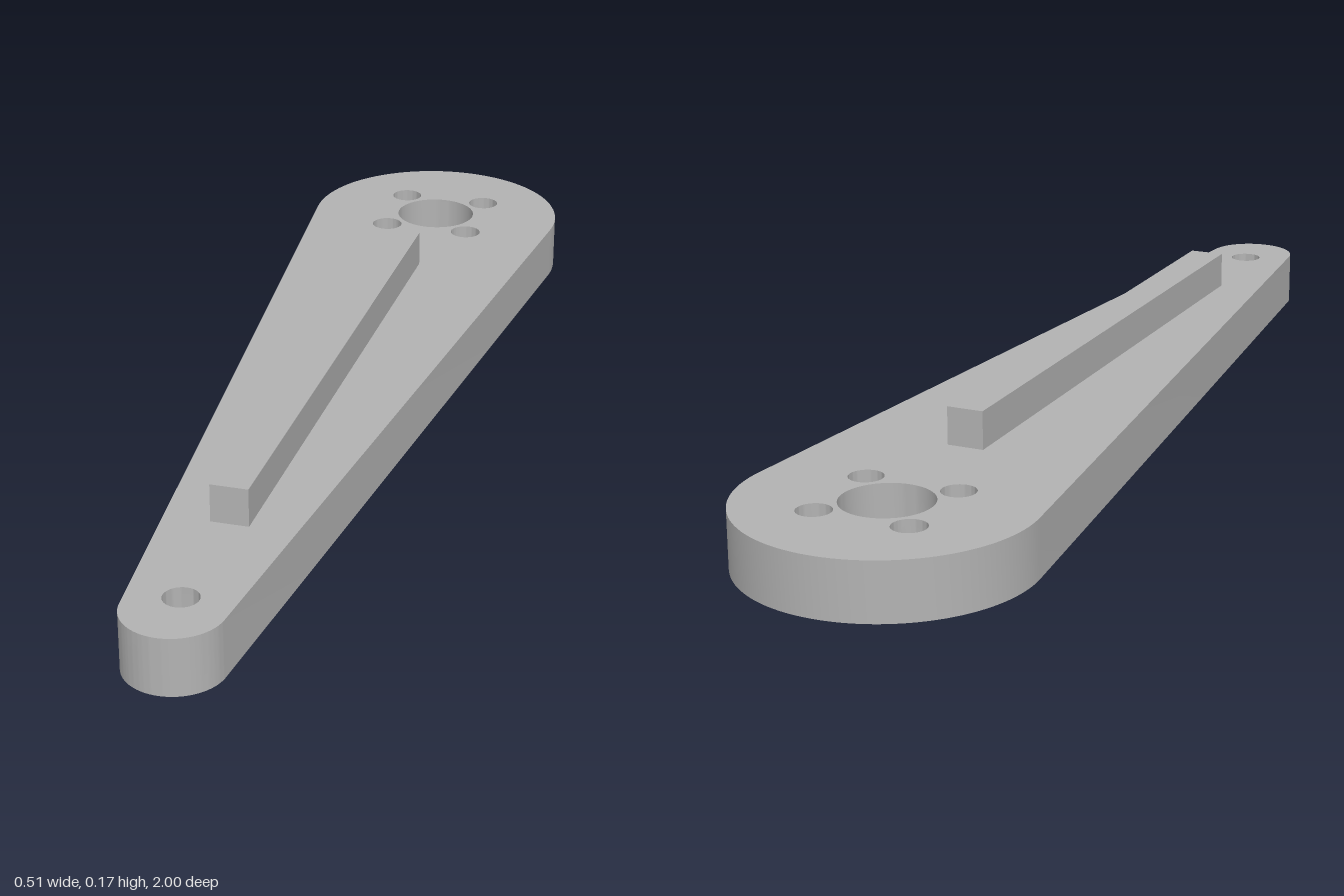
import * as THREE from 'three';
import { toCreasedNormals } from 'three/addons/utils/BufferGeometryUtils.js';

export function createModel() {
  const group = new THREE.Group();
  const grey = new THREE.MeshStandardMaterial({ color: 0xb3b3b3 });
  grey.name = 'plain grey';

  // Tapered outline: a big and a small round end joined by tangent lines
  const thickness = 0.102;
  const big = { z: -0.747, r: 0.253 };
  const small = { z: 0.915, r: 0.085 };
  const tilt = Math.asin((big.r - small.r) / (small.z - big.z));
  const outline = new THREE.Shape();
  outline.absarc(0, big.z, big.r, Math.PI - tilt, 2 * Math.PI + tilt, false);
  outline.absarc(0, small.z, small.r, tilt, Math.PI - tilt, false);
  outline.closePath();

  // Through holes: hub bore, four screw holes, tip hole
  const addHole = (x, z, r) => {
    const hole = new THREE.Path();
    hole.absarc(x, z, r, 0, 2 * Math.PI, true);
    outline.holes.push(hole);
  };
  const hubZ = -0.75;
  addHole(0, hubZ, 0.079);
  for (const sx of [-1, 1]) {
    for (const sz of [-1, 1]) addHole(sx * 0.084, hubZ + sz * 0.084, 0.03);
  }
  addHole(0, 0.88, 0.03);

  // Arm plate, laid flat on y = 0
  const plate = new THREE.ExtrudeGeometry(outline, {
    depth: thickness, bevelEnabled: false, curveSegments: 32,
  });
  plate.rotateX(Math.PI / 2);
  plate.translate(0, thickness, 0);
  const arm = new THREE.Mesh(toCreasedNormals(plate, 0.6), grey);
  arm.name = 'armPlate';
  group.add(arm);

  // Stiffening rib along the top
  const ribHeight = 0.068;
  const rib = new THREE.Mesh(new THREE.BoxGeometry(0.066, ribHeight, 1.12), grey);
  rib.name = 'stiffeningRib';
  rib.position.set(0, thickness + ribHeight / 2, 0.084);
  group.add(rib);

  return group;
}
